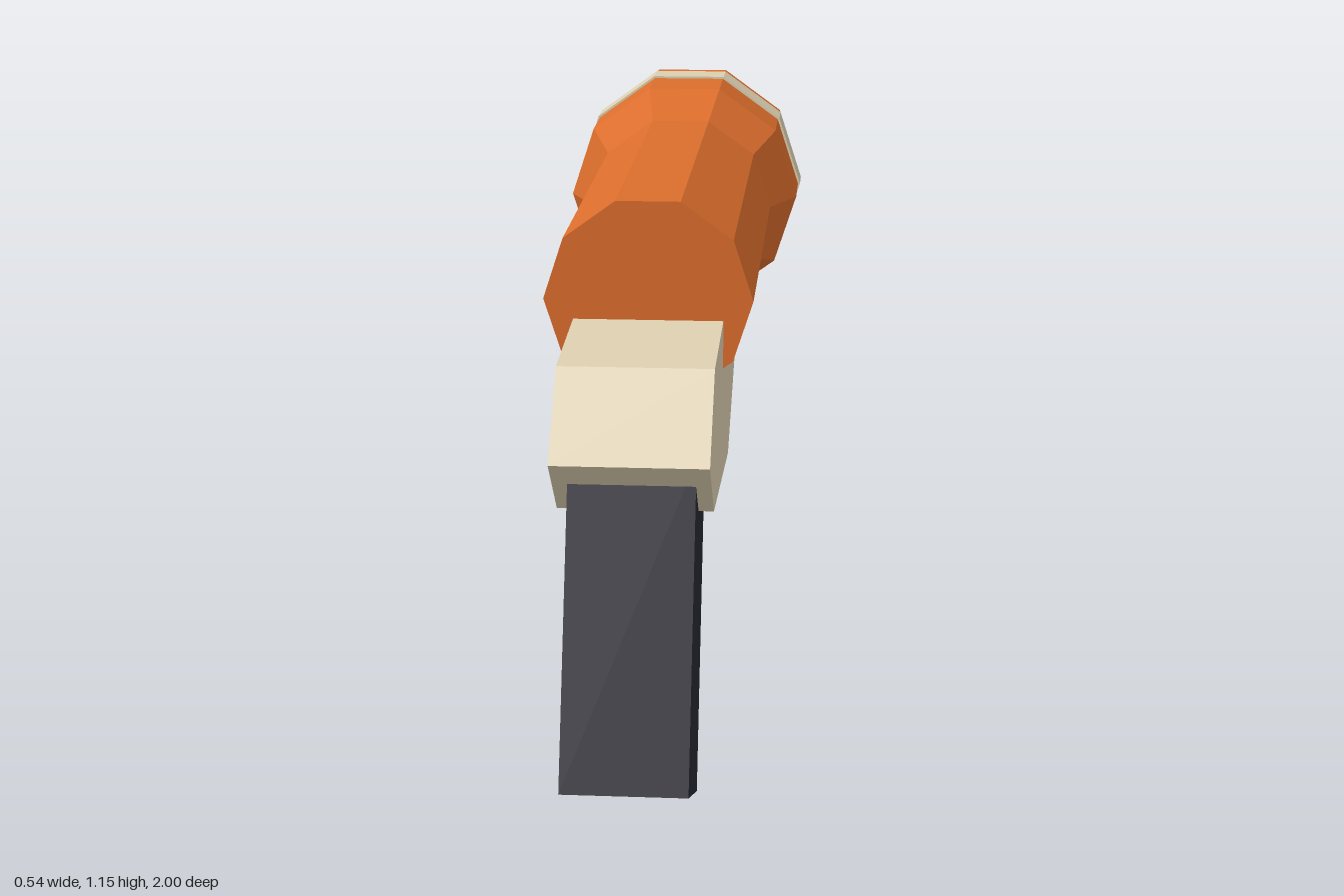
import * as THREE from 'three';

const AXIS_Y = 0.893;
const SIDES = 10;

const orange = new THREE.MeshStandardMaterial({ color: 0xdb6d2c });
orange.name = 'orange shell';
const cream = new THREE.MeshStandardMaterial({ color: 0xdccfb0 });
cream.name = 'cream trim';
const charcoal = new THREE.MeshStandardMaterial({ color: 0x272732 });
charcoal.name = 'charcoal grip';

// Gives every face its own flat normal
function faceted(geometry) {
  const flat = geometry.index ? geometry.toNonIndexed() : geometry;
  flat.computeVertexNormals();
  return flat;
}

// Ten-sided turned part along the barrel; profile is [radius, distance towards the back]
function turned(name, profile, material) {
  const points = profile.map(([r, d]) => new THREE.Vector2(r, d));
  const geometry = new THREE.LatheGeometry(points, SIDES, Math.PI / 2);
  geometry.rotateX(-Math.PI / 2);
  const mesh = new THREE.Mesh(faceted(geometry), material);
  mesh.name = name;
  mesh.position.y = AXIS_Y;
  return mesh;
}

// Side outline in [z, y], extruded evenly across x
function slab(name, outline, width, material) {
  const shape = new THREE.Shape(outline.map(([z, y]) => new THREE.Vector2(z, y)));
  const geometry = new THREE.ExtrudeGeometry(shape, { depth: width, bevelEnabled: false });
  geometry.translate(0, 0, -width / 2);
  geometry.rotateY(-Math.PI / 2);
  const mesh = new THREE.Mesh(faceted(geometry), material);
  mesh.name = name;
  return mesh;
}

export function createModel() {
  const model = new THREE.Group();
  model.name = 'flaredBlaster';

  // Barrel with flared muzzle and hollow bore
  model.add(turned('barrel', [
    [0, -0.405], [0.208, -0.405], [0.208, 0.555], [0.265, 0.69],
    [0.265, 1], [0.175, 1], [0.175, 0.6], [0, 0.6],
  ], orange));

  // Raised ring around the muzzle
  model.add(turned('muzzleBand', [
    [0.26, 0.855], [0.27, 0.855], [0.27, 0.945], [0.26, 0.945],
  ], cream));

  // Angular body under the barrel
  model.add(slab('receiver', [
    [0.86, 0.685], [0.71, 0.835], [0.4, 0.853], [0.07, 0.853],
    [-0.085, 0.65], [0.18, 0.516], [0.72, 0.56],
  ], 0.298, cream));

  // Slanted handle
  model.add(slab('grip', [
    [1, 0.097], [0.785, 0.68], [0.53, 0.585], [0.745, 0],
  ], 0.24, charcoal));

  return model;
}
